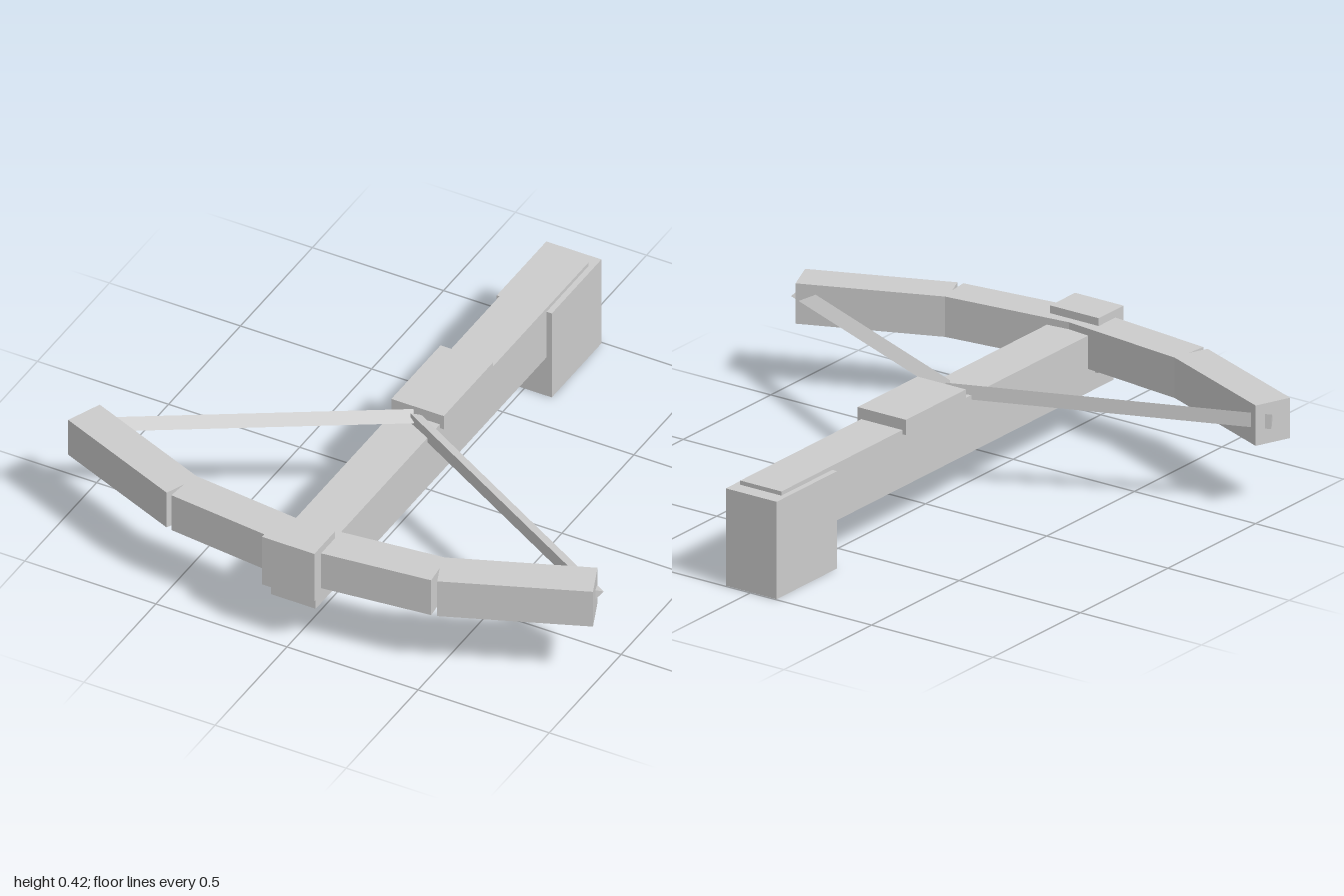
import * as THREE from 'three';

export function createModel() {
  const model = new THREE.Group();
  model.name = 'crossbow';
  const grey = new THREE.MeshStandardMaterial({ color: 0xcccccc, flatShading: true });
  grey.name = 'plain grey';

  function add(name, geometry) {
    const mesh = new THREE.Mesh(geometry, grey);
    mesh.name = name;
    model.add(mesh);
    return mesh;
  }

  // Block given by half width, height range and depth range
  function block(name, halfWidth, y0, y1, z0, z1) {
    const mesh = add(name, new THREE.BoxGeometry(halfWidth * 2, y1 - y0, z1 - z0));
    mesh.position.set(0, (y0 + y1) / 2, (z0 + z1) / 2);
  }

  // Bow segment between two points on the ground plan
  function limb(name, x0, z0, x1, z1) {
    const length = Math.hypot(x1 - x0, z1 - z0);
    const mesh = add(name, new THREE.BoxGeometry(length, 0.145, 0.136));
    mesh.position.set((x0 + x1) / 2, 0.3175, (z0 + z1) / 2);
    mesh.rotation.y = -Math.atan2(z1 - z0, x1 - x0);
  }

  // Three-sided string half, with one edge turned towards a chosen side
  function bowstring(name, start, end, edgeSide) {
    const along = end.clone().sub(start);
    const mesh = add(name, new THREE.CylinderGeometry(0.03, 0.03, along.length(), 3));
    along.normalize();
    const side = edgeSide.clone().addScaledVector(along, -edgeSide.dot(along)).normalize();
    const across = new THREE.Vector3().crossVectors(along, side);
    mesh.quaternion.setFromRotationMatrix(new THREE.Matrix4().makeBasis(across, along, side));
    mesh.position.copy(start).add(end).multiplyScalar(0.5);
  }

  // Stock and fittings
  block('stock', 0.085, 0.16, 0.365, -0.94, 0.955);
  block('butt', 0.105, 0, 0.35, -0.995, -0.65);
  block('latch', 0.1, 0.35, 0.405, -0.25, 0.092);
  block('bowMount', 0.1, 0.22, 0.418, 0.85, 0.992);

  // Bow arms and string halves
  for (const s of [-1, 1]) {
    const label = s > 0 ? 'left' : 'right';
    limb(label + 'InnerLimb', 0, 0.888, s * 0.488, 0.833);
    limb(label + 'OuterLimb', s * 0.49, 0.833, s * 0.975, 0.634);
    bowstring(
      label + 'Bowstring',
      new THREE.Vector3(0, 0.378, 0.117),
      new THREE.Vector3(s * 0.976, 0.325, 0.628),
      new THREE.Vector3(0.46, 0, -s * 0.89)
    );
  }
  return model;
}
